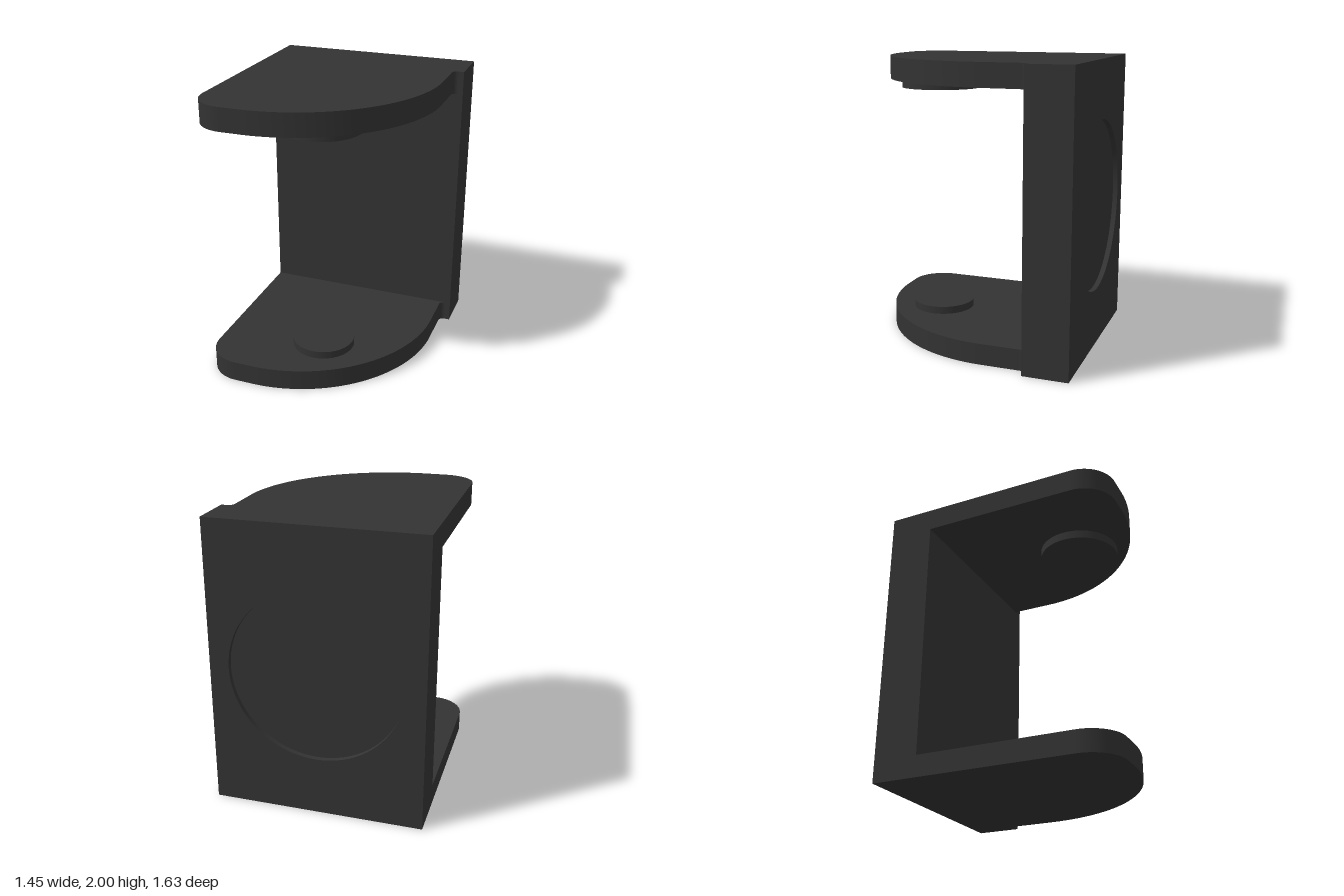
import * as THREE from 'three';
import { toCreasedNormals } from 'three/addons/utils/BufferGeometryUtils.js';

const material = new THREE.MeshStandardMaterial({ color: 0x333333 });
const HALF_W = 0.727, BACK = -0.817, FRONT = 0.817, WALL_FRONT = -0.5;
const RECESS_R = 0.593, RECESS_DEPTH = 0.035;

function addPart(parent, name, geometry, x = 0, y = 0, z = 0) {
  const mesh = new THREE.Mesh(geometry, material);
  mesh.name = name;
  mesh.position.set(x, y, z);
  parent.add(mesh);
}

function extrude(shape, depth) {
  const geometry = new THREE.ExtrudeGeometry(shape, { depth, bevelEnabled: false, curveSegments: 40 });
  return toCreasedNormals(geometry, 0.5);
}

// Shelf outline drawn in (x, -z): small front corner, wide quarter arc, small fillet at the wall
function shelfGeometry(thickness) {
  const side = 0.65, corner = 0.235, fillet = 0.038;
  const arcX = -0.36, arcR = side - arcX, arcY = arcR - FRONT;
  const wallY = -WALL_FRONT;
  const s = new THREE.Shape();
  s.moveTo(-HALF_W, wallY);
  s.lineTo(-HALF_W, -FRONT + corner);
  s.absarc(-HALF_W + corner, -FRONT + corner, corner, Math.PI, Math.PI * 1.5, false);
  s.lineTo(arcX, -FRONT);
  s.absarc(arcX, arcY, arcR, -Math.PI / 2, 0, false);
  s.lineTo(side, wallY - fillet);
  s.absarc(side + fillet, wallY - fillet, fillet, Math.PI, Math.PI / 2, true);
  s.closePath();
  return extrude(s, thickness).rotateX(-Math.PI / 2);
}

export function createModel() {
  const model = new THREE.Group();
  model.name = 'bracket';

  // Back wall: solid front slab plus a rear layer with a round opening
  const wall = new THREE.Group();
  wall.name = 'backWall';
  model.add(wall);
  const slabDepth = WALL_FRONT - BACK - RECESS_DEPTH;
  addPart(wall, 'wallSlab', new THREE.BoxGeometry(HALF_W * 2, 2, slabDepth), 0, 1, WALL_FRONT - slabDepth / 2);

  const face = new THREE.Shape();
  face.moveTo(-HALF_W, 0);
  face.lineTo(HALF_W, 0);
  face.lineTo(HALF_W, 2);
  face.lineTo(-HALF_W, 2);
  face.closePath();
  face.holes.push(new THREE.Path().absarc(0, 1, RECESS_R, 0, Math.PI * 2, true));
  addPart(wall, 'recessedBackFace', extrude(face, RECESS_DEPTH), 0, 0, BACK);

  // Shelves with facing round bosses
  const bossZ = 0.35;
  addPart(model, 'bottomShelf', shelfGeometry(0.147));
  addPart(model, 'bottomBoss', new THREE.CylinderGeometry(0.22, 0.22, 0.055, 64), 0, 0.1725, bossZ);
  addPart(model, 'topShelf', shelfGeometry(0.16), 0, 1.84, 0);
  addPart(model, 'topBoss', new THREE.CylinderGeometry(0.283, 0.283, 0.06, 64), 0, 1.81, bossZ);

  return model;
}
